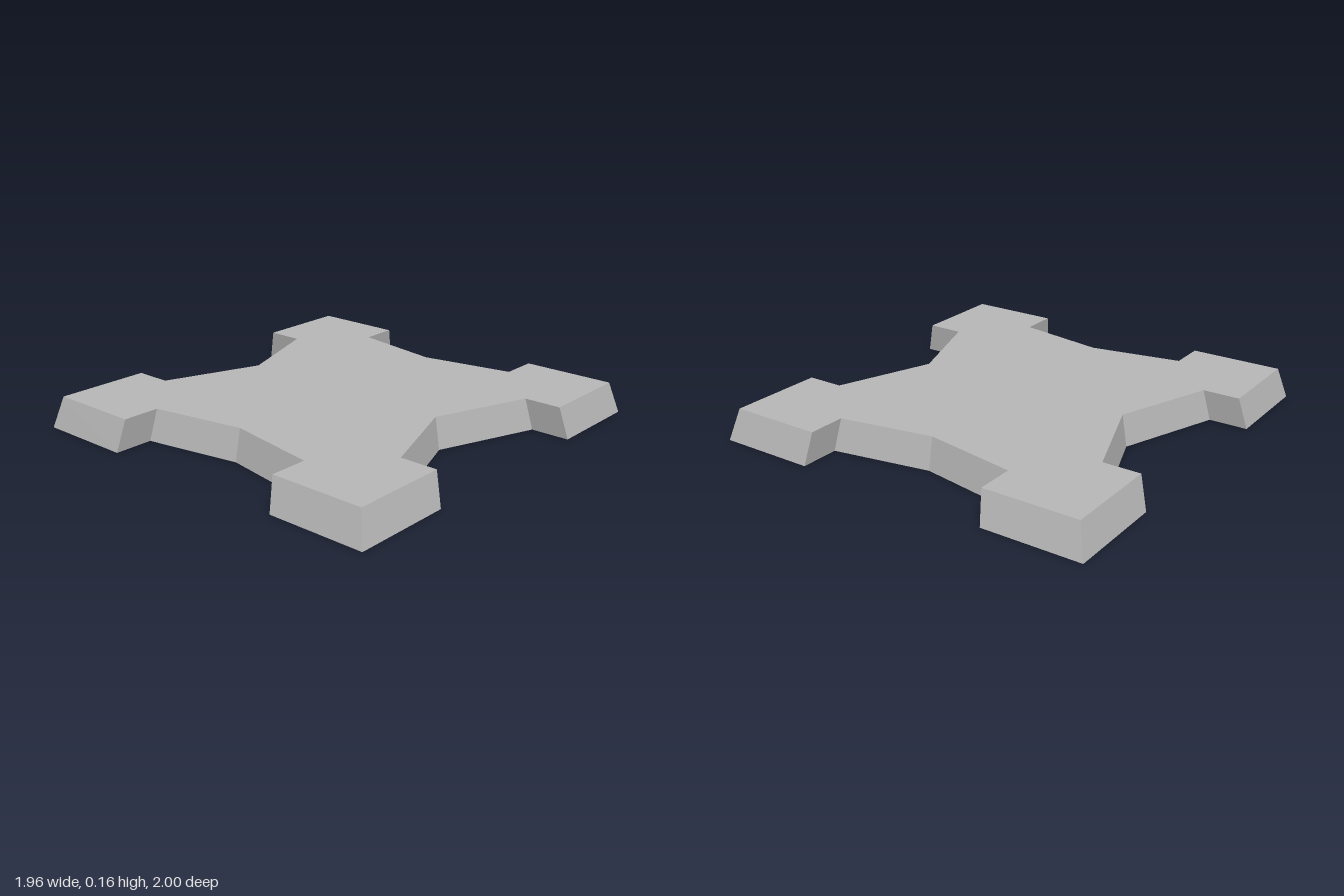
import * as THREE from 'three';

const HEIGHT = 0.157;
const TAPER = 0.957; // top outline relative to the bottom outline

// Bottom outline of one quadrant, from the side apex round to the end apex
const QUADRANT = [
  [0.6, 0], [0.785, 0.503], [0.98, 0.503], [0.98, 1],
  [0.49, 1], [0.49, 0.805], [0, 0.718],
];

function outline() {
  const mirrorX = QUADRANT.map(([x, y]) => [-x, y]).reverse();
  const half = [...QUADRANT, ...mirrorX.slice(1)];
  const lower = half.map(([x, y]) => [x, -y]).reverse();
  const all = [...half, ...lower.slice(1, -1)];
  return new THREE.Shape(all.map(([x, y]) => new THREE.Vector2(x, y)));
}

export function createModel() {
  const stone = new THREE.MeshStandardMaterial({ color: 0xb8b8b8 });
  stone.name = 'grey stone';

  // Star-shaped slab with four corner bastions
  const geometry = new THREE.ExtrudeGeometry(outline(), { depth: HEIGHT, bevelEnabled: false });
  geometry.rotateX(-Math.PI / 2);

  // Draw the top outline in towards the centre
  const p = geometry.attributes.position;
  for (let i = 0; i < p.count; i++) {
    if (p.getY(i) > HEIGHT / 2) {
      p.setX(i, p.getX(i) * TAPER);
      p.setZ(i, p.getZ(i) * TAPER);
    }
  }
  geometry.computeVertexNormals();

  const fort = new THREE.Mesh(geometry, stone);
  fort.name = 'bastionSlab';
  const model = new THREE.Group();
  model.name = 'bastionFort';
  model.add(fort);
  return model;
}
